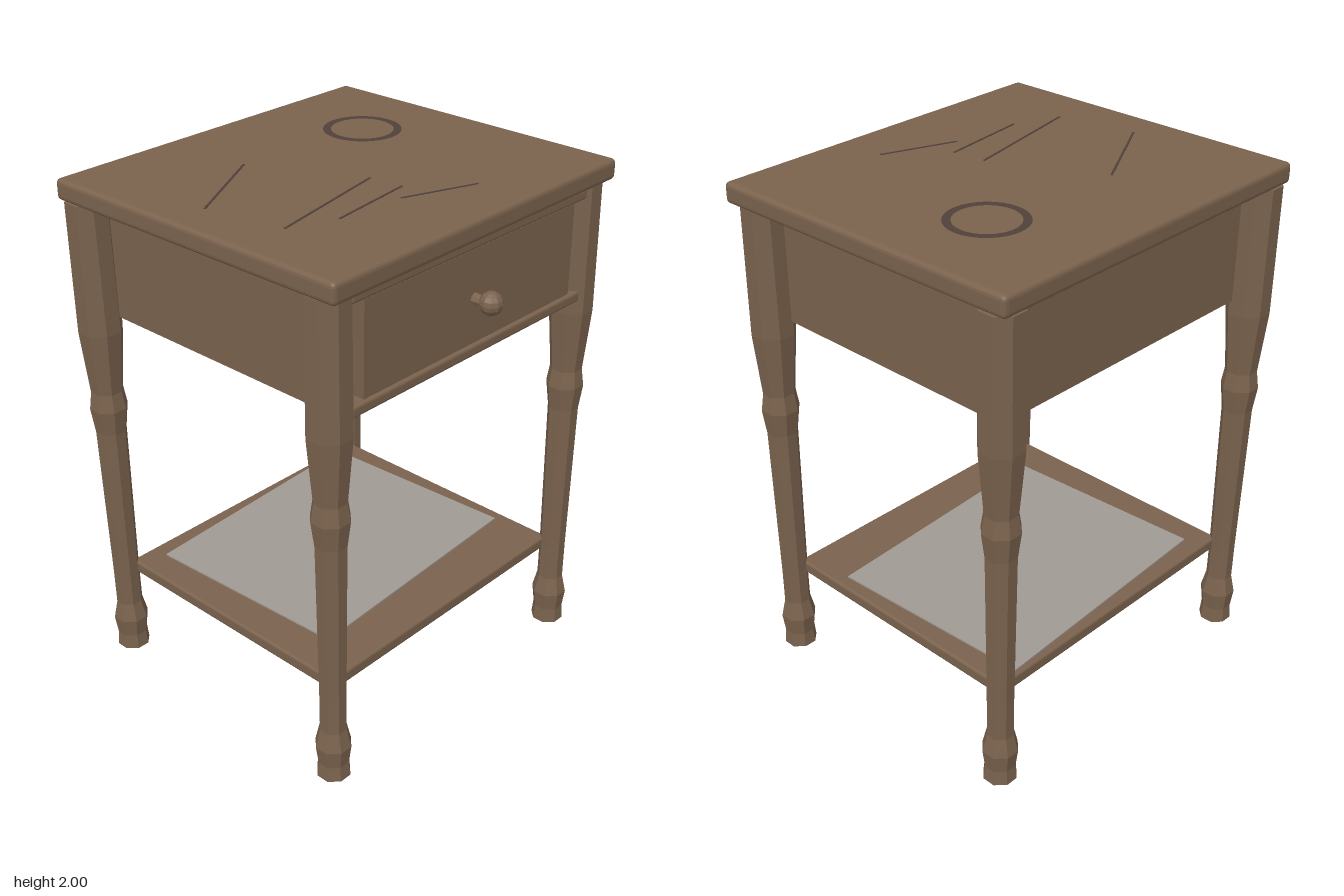
import * as THREE from 'three';
import { RoundedBoxGeometry } from 'three/addons/geometries/RoundedBoxGeometry.js';

export function createModel() {
  const model = new THREE.Group();
  model.name = 'bedsideTable';

  const flat = (name, color) => {
    const m = new THREE.MeshStandardMaterial({ color, flatShading: true });
    m.name = name;
    return m;
  };
  const wood = flat('brownWood', 0x7a624d);
  const stain = flat('darkStain', 0x51413a);
  const paper = flat('greyLiner', 0xa09a93);

  const add = (name, geometry, material, x, y, z, turn = 0) => {
    const mesh = new THREE.Mesh(geometry, material);
    mesh.name = name;
    mesh.position.set(x, y, z);
    mesh.rotation.y = turn;
    model.add(mesh);
    return mesh;
  };
  const box = (w, h, d) => new THREE.BoxGeometry(w, h, d);
  const rounded = (w, h, d, r) => new RoundedBoxGeometry(w, h, d, 2, r);

  // Table top, set very slightly askew
  add('tableTop', rounded(1.485, 0.079, 1.317, 0.018), wood, 0, 1.9585, -0.033, 0.0105);

  // Turned eight-sided legs: [half width, height]
  const profile = [
    [0, 0], [0.06, 0], [0.055, 0.06], [0.064, 0.135], [0.048, 0.21], [0.048, 0.36],
    [0.055, 1.0], [0.067, 1.1], [0.057, 1.17], [0.077, 1.42], [0.074, 1.92], [0, 1.92],
  ].map(([r, y]) => new THREE.Vector2(r / Math.cos(Math.PI / 8), y));

  // Each leg leans a little: foot x, foot z, top x, top z
  const legs = [
    ['frontRightLeg', -0.65, 0.54, -0.655, 0.53],
    ['frontLeftLeg', 0.65, 0.54, 0.657, 0.53],
    ['backRightLeg', -0.65, -0.593, -0.675, -0.61],
    ['backLeftLeg', 0.65, -0.593, 0.665, -0.622],
  ];
  for (const [name, fx, fz, tx, tz] of legs) {
    const g = new THREE.LatheGeometry(profile, 8, Math.PI / 8);
    const p = g.attributes.position;
    for (let i = 0; i < p.count; i++) {
      const t = p.getY(i) / 1.92;
      p.setX(i, p.getX(i) + (tx - fx) * t);
      p.setZ(i, p.getZ(i) + (tz - fz) * t);
    }
    g.computeVertexNormals();
    add(name, g, wood, fx, 0, fz);
  }

  // Drawer case, front rails and drawer
  add('drawerCase', box(1.26, 0.447, 1.1), wood, 0, 1.6985, -0.035);
  for (const [name, y] of [['upperRail', 1.897], ['lowerRail', 1.497]]) {
    add(name, rounded(1.225, 0.042, 0.09, 0.01), wood, 0, y, 0.55);
  }
  add('drawerFront', box(1.1, 0.35, 0.085), wood, 0, 1.698, 0.543);

  // Knob and its stem
  add('drawerKnob', new THREE.SphereGeometry(0.043, 10, 8), wood, 0, 1.695, 0.656);
  const stem = add('knobStem', new THREE.CylinderGeometry(0.018, 0.024, 0.06, 8), wood, 0, 1.69, 0.605);
  stem.rotation.x = Math.PI / 2;

  // Lower shelf with a loose liner sheet
  add('lowerShelf', rounded(1.265, 0.05, 1.1, 0.01), wood, 0, 0.37, -0.03);
  add('shelfLiner', box(1.06, 0.006, 0.855), paper, 0.03, 0.398, -0.105, 0.055);

  // Ring mark on the top
  const ring = add('ringMark', new THREE.RingGeometry(0.118, 0.148, 32), stain, 0.364, 2.0, -0.265);
  ring.rotation.x = -Math.PI / 2;

  // Scratches on the top: start x, z and end x, z
  const scratches = [
    [-0.59, -0.09, -0.21, -0.305],
    [-0.53, 0.222, -0.005, 0.11],
    [-0.35, 0.292, 0.012, 0.243],
    [-0.075, 0.315, 0.207, 0.417],
  ];
  for (const [x0, z0, x1, z1] of scratches) {
    const length = Math.hypot(x1 - x0, z1 - z0);
    add('scratch', box(length, 0.004, 0.008), stain,
      (x0 + x1) / 2, 1.998, (z0 + z1) / 2, -Math.atan2(z1 - z0, x1 - x0));
  }

  return model;
}
